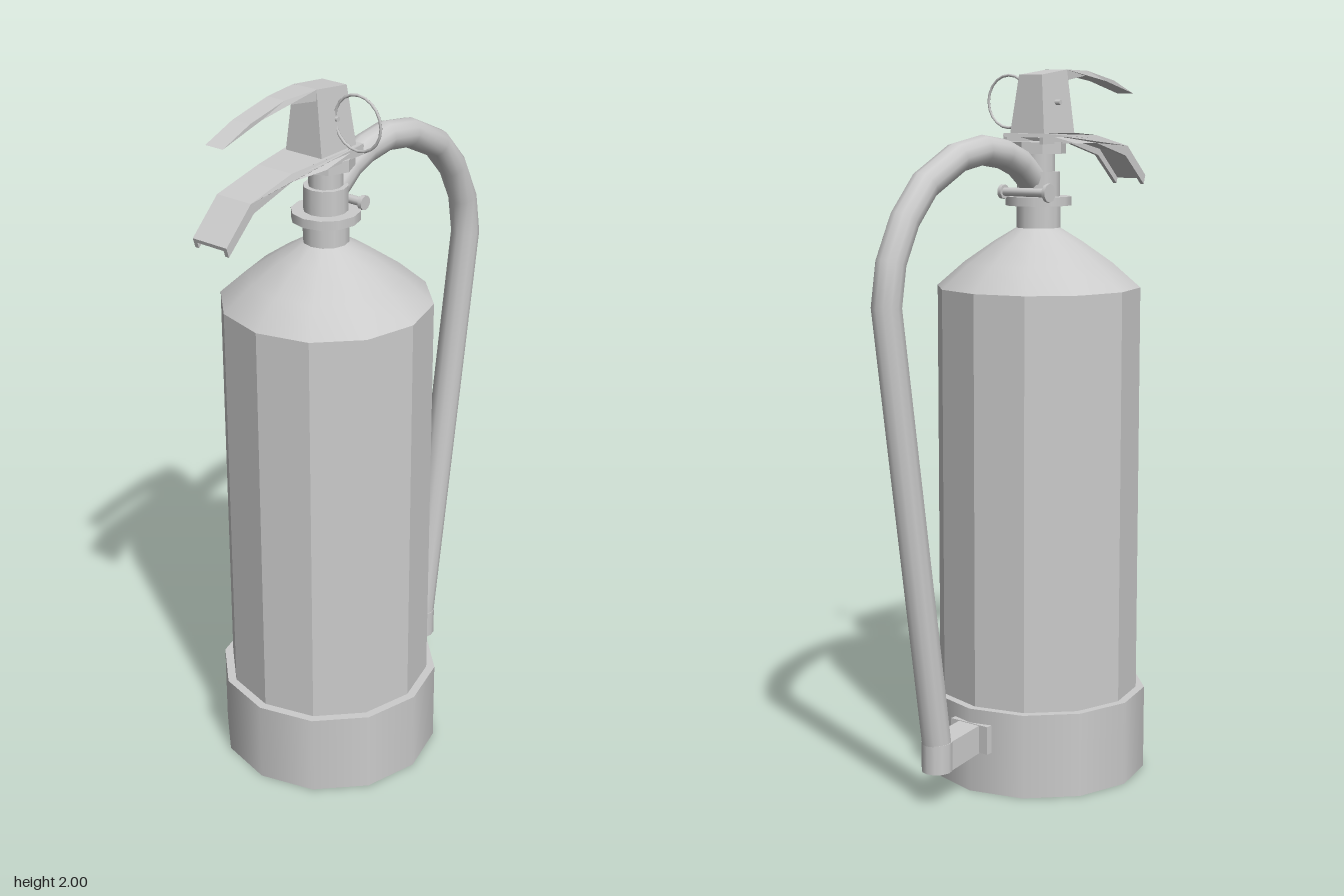
import * as THREE from 'three';
import { toCreasedNormals } from 'three/addons/utils/BufferGeometryUtils.js';

const AXIS_X = -0.12; // centre line of the tank
const smooth = new THREE.MeshStandardMaterial({ color: 0xcccccc });
const flat = new THREE.MeshStandardMaterial({ color: 0xcccccc, flatShading: true });

export function createModel() {
  const model = new THREE.Group();

  const add = (name, geometry, material = flat, x = 0, y = 0, z = 0) => {
    const mesh = new THREE.Mesh(geometry, material);
    mesh.name = name;
    mesh.position.set(x, y, z);
    model.add(mesh);
    return mesh;
  };
  // Turned part standing on the tank axis
  const turned = (name, r0, r1, y0, y1, sides, material) =>
    add(name, new THREE.CylinderGeometry(r1, r0, y1 - y0, sides), material, AXIS_X, (y0 + y1) / 2);
  // Side outline extruded along z; halfWidth(x, y) tapers it
  const slab = (name, outline, halfWidth, centre = 0) => {
    const shape = new THREE.Shape(outline.map(([x, y]) => new THREE.Vector2(x, y)));
    const geometry = new THREE.ExtrudeGeometry(shape, { depth: 2, bevelEnabled: false });
    const p = geometry.attributes.position;
    for (let i = 0; i < p.count; i++) {
      const w = halfWidth(p.getX(i), p.getY(i));
      p.setZ(i, centre * w + (p.getZ(i) - 1) * (centre ? 0.006 : w));
    }
    geometry.computeVertexNormals();
    return add(name, geometry);
  };

  // Tank: foot ring, faceted body and domed shoulder
  turned('baseRing', 0.312, 0.312, 0, 0.24, 12, smooth);
  turned('tankBody', 0.288, 0.288, 0.2, 1.4, 12, flat);
  const dome = [[0.288, 1.4], [0.21, 1.468], [0.125, 1.527], [0.062, 1.565]]
    .map(([r, y]) => new THREE.Vector2(r, y));
  add('tankShoulder', toCreasedNormals(new THREE.LatheGeometry(dome, 12), 0.4), smooth, AXIS_X);

  // Neck and valve
  turned('neck', 0.062, 0.062, 1.55, 1.63, 12, smooth);
  turned('neckCollar', 0.093, 0.093, 1.627, 1.652, 12, smooth);
  turned('valveBody', 0.06, 0.06, 1.65, 1.72, 12, smooth);
  turned('valveStem', 0.046, 0.046, 1.72, 1.78, 12, smooth);
  turned('valveNut', 0.077, 0.077, 1.77, 1.802, 8, flat);

  // Collar bolt
  for (const [name, r, z, length] of [
    ['boltShaft', 0.012, -0.005, 0.16], ['boltHead', 0.026, -0.088, 0.01], ['boltNut', 0.02, 0.07, 0.012],
  ]) {
    add(name, new THREE.CylinderGeometry(r, r, length, 10), smooth, -0.05, 1.665, z).rotation.x = Math.PI / 2;
  }

  // Valve head, narrowing upwards
  slab('valveHead', [[-0.208, 1.815], [-0.066, 1.815], [-0.082, 1.985], [-0.2, 2]],
    (x, y) => 0.06 - (y - 1.815) * 0.12);

  // Upper lever
  slab('upperLever',
    [[-0.54, 1.935], [-0.4, 1.97], [-0.3, 1.984], [-0.198, 1.97], [-0.198, 2], [-0.31, 1.998], [-0.44, 1.972]],
    (x) => (x > -0.25 ? 0.038 : 0.028));

  // Lower handle: a channel made of a thin top and two side flanges
  const gripWidth = (x) => 0.055 + 0.014 * THREE.MathUtils.clamp((x + 0.32) / 0.12, 0, 1);
  const gripTop = [[-0.568, 1.698], [-0.475, 1.785], [-0.32, 1.818], [-0.2, 1.826], [-0.05, 1.826]];
  const gripLow = [[-0.05, 1.797], [-0.2, 1.797], [-0.32, 1.796], [-0.465, 1.757], [-0.56, 1.672]];
  const gripUnder = gripTop.map(([x, y]) => [x + 0.003, y - 0.01]).reverse();
  slab('lowerHandle', [...gripTop, ...gripUnder].reverse(), gripWidth);
  for (const side of [-1, 1]) {
    slab(side > 0 ? 'frontHandleFlange' : 'backHandleFlange', [...gripTop, ...gripLow], (x) => gripWidth(x) - 0.006, side);
  }

  // Safety pin and pull ring
  add('safetyPin', new THREE.CylinderGeometry(0.007, 0.007, 0.12, 8), smooth, -0.135, 1.91, -0.005).rotation.x = Math.PI / 2;
  add('pullRing', new THREE.TorusGeometry(0.073, 0.004, 6, 20), smooth, -0.135, 1.912, 0.117).rotation.y = Math.PI / 2;

  // Hose swept through its bend points
  const points = [[-0.09, 1.7], [-0.03, 1.745], [0.04, 1.772], [0.13, 1.784], [0.235, 1.766], [0.365, 1.7],
    [0.445, 1.613], [0.5, 1.505], [0.519, 1.392], [0.333, 0.17]].map(([x, y]) => new THREE.Vector3(x, y, 0));
  const last = points.length - 1;
  const path = new THREE.Curve();
  path.getPointAt = (t) => points[Math.round(t * last)].clone();
  path.getTangentAt = (t) => {
    const i = Math.round(t * last);
    const dir = (a, b) => points[b].clone().sub(points[a]).normalize();
    if (i === 0) return dir(0, 1);
    if (i === last) return dir(last - 1, last);
    return dir(i - 1, i).add(dir(i, i + 1)).normalize();
  };
  add('hose', new THREE.TubeGeometry(path, last, 0.041, 12, false), smooth);
  const fitting = add('hoseFitting', new THREE.CylinderGeometry(0.036, 0.036, 0.07, 12), smooth, -0.08, 1.705);
  fitting.rotation.z = -0.93;

  // Hose holder on the foot ring
  add('holderPlate', new THREE.BoxGeometry(0.03, 0.08, 0.13), flat, 0.18, 0.16);
  slab('holderArm', [[0.18, 0.12], [0.32, 0.1], [0.32, 0.183], [0.18, 0.2]], () => 0.036);
  add('holderCup', new THREE.CylinderGeometry(0.043, 0.043, 0.083, 12), smooth, 0.333, 0.142);

  return model;
}
